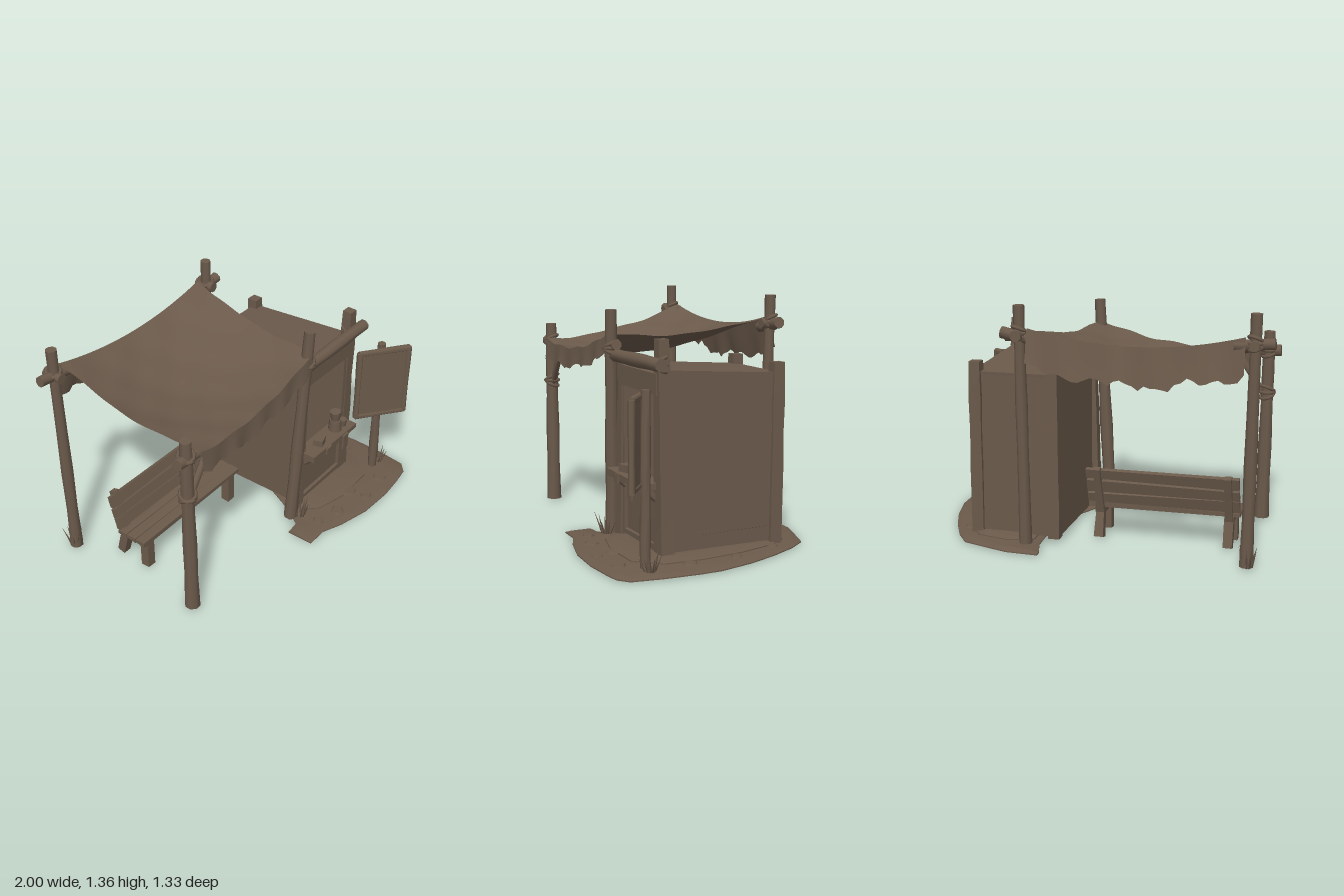
import * as THREE from 'three';
import { toCreasedNormals } from 'three/addons/utils/BufferGeometryUtils.js';

const V = (x, y, z) => new THREE.Vector3(x, y, z);

export function createModel() {
  const root = new THREE.Group();
  root.name = 'marketShelter';
  const brown = new THREE.MeshStandardMaterial({ color: 0x6b5a4b, side: THREE.DoubleSide });
  brown.name = 'weathered brown';
  let seed = 7;
  const rnd = () => (seed = (seed * 16807) % 2147483647) / 2147483647;

  const add = (name, geo, parent = root) => {
    const m = new THREE.Mesh(geo, brown);
    m.name = name;
    parent.add(m);
    return m;
  };
  // rough timber between two points
  const pole = (name, a, b, r0, r1 = r0, parent = root, sides = 8) => {
    const len = a.distanceTo(b);
    const g = new THREE.CylinderGeometry(r1, r0, len, sides, 5, false, Math.PI / sides);
    const p = g.attributes.position, ph = rnd() * 6;
    for (let i = 0; i < p.count; i++) {
      const y = p.getY(i), k = 1 + 0.07 * Math.sin(y * 14 + ph);
      p.setXYZ(i, p.getX(i) * k, y, p.getZ(i) * k);
    }
    const m = add(name, toCreasedNormals(g, 0.9), parent);
    m.position.copy(a).lerp(b, 0.5);
    m.quaternion.setFromUnitVectors(V(0, 1, 0), b.clone().sub(a).normalize());
    return m;
  };
  // board with slightly uneven corners
  const board = (name, w, h, d, x, y, z, parent = root, warp = 0.005) => {
    const g = new THREE.BoxGeometry(w, h, d);
    const p = g.attributes.position;
    for (let i = 0; i < p.count; i++) {
      const s = Math.sin(p.getX(i) * 91 + p.getY(i) * 57 + p.getZ(i) * 33 + x * 5 + y * 40);
      p.setY(i, p.getY(i) + s * warp);
    }
    const m = add(name, toCreasedNormals(g, 0.3), parent);
    m.position.set(x, y, z);
    return m;
  };
  // rope lashing around a post
  const lashing = (x, y, z, r) => {
    for (let i = 0; i < 3; i++) {
      const t = add('ropeLashing', new THREE.TorusGeometry(r, 0.01, 5, 10));
      t.position.set(x, y + (i - 1) * 0.02, z);
      t.rotation.set(Math.PI / 2 + (i - 1) * 0.35, (i - 1) * 0.3, 0);
    }
  };

  // ground patch: flat underneath, sloping rim
  const slab = (name, pts, depth, y, bevel) => {
    const s = new THREE.Shape(pts.map(([x, z]) => new THREE.Vector2(x, -z)));
    const g = new THREE.ExtrudeGeometry(s, { depth, bevelSize: bevel, bevelOffset: -bevel,
      bevelThickness: 0.012, bevelSegments: 1 });
    g.rotateX(-Math.PI / 2);
    const p = g.attributes.position;
    for (let i = 0; i < p.count; i++) p.setY(i, Math.max(0, p.getY(i)));
    add(name, toCreasedNormals(g, 0.6)).position.y = y;
  };
  slab('groundPatch', [[-0.03, 0.39], [-0.03, 0.55], [0.1, 0.55], [0.22, 0.6], [0.42, 0.65], [0.64, 0.66],
    [0.8, 0.645], [0.9, 0.63], [0.96, 0.58], [0.985, 0.4], [0.995, 0.2], [0.99, 0.08], [0.94, -0.12],
    [0.87, -0.3], [0.79, -0.46], [0.71, -0.57], [0.56, -0.62], [0.43, -0.66], [0.25, -0.665], [0.25, -0.63],
    [0.29, -0.5], [0.3, -0.35], [0.28, -0.12], [0.24, 0.05], [0.17, 0.2], [0.1, 0.32], [0.06, 0.38]], 0.006, 0.004, 0.03);
  slab('groundMound', [[0.17, 0.34], [0.25, 0.42], [0.45, 0.47], [0.7, 0.46], [0.82, 0.32], [0.83, 0.1],
    [0.8, -0.15], [0.74, -0.37], [0.66, -0.48], [0.48, -0.52], [0.33, -0.49], [0.34, -0.2], [0.28, 0.1]],
    0.006, 0.022, 0.05);
  for (const [x, z, r] of [[0.3, 0.52, 0.05], [0.5, 0.47, 0.06], [0.53, 0.58, 0.04], [0.74, 0.55, 0.05],
    [0.86, 0.2, 0.05], [0.85, -0.08, 0.04], [0.76, -0.35, 0.04], [0.15, 0.48, 0.04]]) {
    const st = add('flatStone', new THREE.CylinderGeometry(r * 0.7, r, 0.014, 5));
    st.position.set(x, 0.024, z);
    st.rotation.set(0.06 * rnd(), rnd() * 3, 0.06 * rnd());
  }

  // canopy posts with short cross bars and lashings
  pole('backLeftPost', V(0.36, 0.01, -0.53), V(0.37, 1.36, -0.55), 0.035, 0.03);
  pole('backRightPost', V(-0.88, 0.01, -0.54), V(-0.9, 1.36, -0.55), 0.037, 0.03);
  pole('frontRightPost', V(-0.845, 0.01, 0.32), V(-0.86, 1.14, 0.32), 0.043, 0.034);
  pole('frontLeftPost', V(0.1, 0.01, 0.31), V(0.175, 1.29, 0.345), 0.04, 0.032);
  pole('crossBar', V(-1, 1.21, -0.55), V(-0.79, 1.19, -0.55), 0.032);
  pole('crossBar', V(0.26, 1.17, -0.55), V(0.47, 1.21, -0.55), 0.032);
  pole('crossBar', V(-0.93, 1.03, 0.32), V(-0.78, 1.02, 0.32), 0.032);
  pole('crossBar', V(0.1, 1.08, 0.33), V(0.22, 1.1, 0.33), 0.03);
  pole('crossPeg', V(-0.9, 1.2, -0.61), V(-0.9, 1.2, -0.49), 0.03);
  pole('crossPeg', V(0.37, 1.2, -0.61), V(0.37, 1.2, -0.49), 0.03);
  pole('brace', V(-0.84, 0.76, 0.32), V(-0.7, 0.97, 0.32), 0.018);
  for (const [x, y, z, r] of [[-0.9, 1.21, -0.55, 0.04], [0.37, 1.21, -0.55, 0.04], [-0.858, 1.03, 0.32, 0.043],
    [-0.855, 0.78, 0.32, 0.043], [0.165, 1.08, 0.34, 0.042]]) lashing(x, y, z, r);

  // sagging canopy with ragged hanging edges
  const canopyPoint = (u, v) => {
    const back = 1.24 - 0.3 * u * (1 - u), front = 1.05 - 0.16 * u + 0.27 * u * u;
    const xl = -0.85 + 0.05 * v + 0.012 * Math.sin(v * 9), xr = 0.32 - 0.14 * v;
    const wrinkle = 0.006 * Math.sin(u * 23 + v * 5) * Math.sin(v * 17);
    const sag = 0.2 * v * (1 - v) + 0.045 * Math.sin(u * Math.PI) * Math.sin(v * Math.PI);
    return V(xl + (xr - xl) * u, back + (front - back) * v - sag + wrinkle, -0.57 + 0.94 * v);
  };
  const sheet = (name, nu, nv, f) => {
    const g = new THREE.PlaneGeometry(1, 1, nu, nv);
    const p = g.attributes.position;
    for (let i = 0; i < p.count; i++) {
      const q = f(p.getX(i) + 0.5, 0.5 - p.getY(i));
      p.setXYZ(i, q.x, q.y, q.z);
    }
    g.computeVertexNormals();
    add(name, g);
  };
  sheet('canopy', 28, 18, canopyPoint);
  const valance = (name, v, drop, out) => sheet(name, 36, 3, (u, t) => {
    const q = canopyPoint(u, v);
    const tear = 0.88 + 0.12 * Math.sin(u * 31) * Math.sin(u * 13 + 1) - (t > 0.9 ? rnd() * 0.1 : 0);
    q.y -= drop * t * tear;
    q.z += out * t + 0.008 * t * Math.sin(u * 30);
    return q;
  });
  valance('frontValance', 1, 0.135, 0.012);
  valance('backValance', 0, 0.24, -0.04);

  // booth corner posts, roughly squared
  pole('boothPost', V(0.69, 0.02, 0.262), V(0.685, 1.17, 0.28), 0.052, 0.043, root, 4);
  pole('boothPost', V(0.685, 0.02, -0.4), V(0.68, 1.02, -0.41), 0.05, 0.047, root, 4);
  pole('boothPost', V(0.19, 0.02, 0.28), V(0.215, 1.03, 0.28), 0.048, 0.043, root, 4);
  pole('boothPost', V(0.23, 0.02, -0.4), V(0.23, 1.02, -0.41), 0.05, 0.045, root, 4);

  // booth walls and sloping roof
  const wall = (name, x) => {
    const s = new THREE.Shape([[-0.27, 0.03], [0.4, 0.03], [0.4, 0.95], [-0.27, 0.995]]
      .map(([a, b]) => new THREE.Vector2(a, b)));
    const g = new THREE.ExtrudeGeometry(s, { depth: 0.02, bevelEnabled: false });
    g.rotateY(Math.PI / 2);
    add(name, g).position.x = x;
  };
  wall('boothSideWall', 0.68);
  wall('boothSideWall', 0.2);
  board('boothBackWall', 0.45, 0.92, 0.02, 0.455, 0.49, -0.41);
  board('boothFloor', 0.48, 0.02, 0.66, 0.45, 0.04, -0.06);
  const roof = board('boothRoof', 0.5, 0.018, 0.7, 0.45, 0.977, -0.075, root, 0);
  roof.rotation.x = -0.067;
  board('wallSill', 0.012, 0.015, 0.52, 0.7, 0.13, -0.1);

  // booth front: apron, trim, header and lintel
  board('frontApron', 0.44, 0.36, 0.02, 0.45, 0.22, 0.27);
  for (const x of [0.235, 0.645]) board('frontTrim', 0.03, 0.88, 0.03, x, 0.47, 0.285);
  board('bottomTrim', 0.46, 0.03, 0.03, 0.44, 0.06, 0.285);
  board('headerBoard', 0.49, 0.11, 0.03, 0.45, 0.935, 0.3);
  pole('lintel', V(0.17, 1.04, 0.325), V(0.78, 1.045, 0.325), 0.037, 0.037);
  lashing(0.685, 1.04, 0.29, 0.044);

  // counter with its goods
  board('counter', 0.46, 0.035, 0.13, 0.44, 0.4, 0.325);
  for (const x of [0.24, 0.64]) pole('counterBracket', V(x, 0.32, 0.285), V(x, 0.39, 0.36), 0.02);
  for (const x of [0.36, 0.54]) board('hangingCloth', 0.05, x > 0.5 ? 0.1 : 0.05, 0.012, x, x > 0.5 ? 0.36 : 0.39, 0.395);
  board('smallBox', 0.07, 0.045, 0.06, 0.35, 0.44, 0.33).rotation.y = 0.3;
  pole('jug', V(0.535, 0.41, 0.32), V(0.535, 0.49, 0.32), 0.042, 0.035);
  pole('jugTop', V(0.535, 0.48, 0.32), V(0.53, 0.55, 0.32), 0.026, 0.036);
  pole('cup', V(0.6, 0.41, 0.33), V(0.6, 0.46, 0.33), 0.024, 0.028);

  // angled notice board on its own post
  const sign = new THREE.Group();
  sign.name = 'noticeBoard';
  sign.position.set(0.81, 0.675, 0.465);
  sign.rotation.y = -0.65;
  root.add(sign);
  board('noticePanel', 0.3, 0.44, 0.02, 0, 0, 0, sign);
  for (const s of [-1, 1]) {
    pole('noticeFrame', V(s * 0.155, -0.23, 0), V(s * 0.155, 0.23, 0), 0.019, 0.019, sign);
    pole('noticeFrame', V(-0.16, s * 0.225, 0), V(0.16, s * 0.225, 0), 0.019, 0.019, sign);
  }
  pole('noticePost', V(0.825, 0.02, 0.438), V(0.825, 0.935, 0.435), 0.028, 0.026);

  // bench
  const bench = new THREE.Group();
  bench.name = 'bench';
  root.add(bench);
  for (const z of [-0.235, -0.167, -0.1]) board('seatPlank', 0.87, 0.028, 0.063, -0.365, 0.195, z, bench);
  [0.245, 0.315, 0.388].forEach((y, i) => {
    const b = board('backPlank', 0.87, 0.063, 0.025, -0.365, y, -0.268 - i * 0.021, bench);
    b.rotation.set(-0.28, 0, (i - 1) * 0.008);
  });
  for (const x of [-0.74, 0]) {
    board('frontLeg', 0.055, 0.19, 0.055, x, 0.1, -0.1, bench);
    pole('backLeg', V(x, 0.01, -0.29), V(x, 0.2, -0.24), 0.036, 0.034, bench, 4);
    pole('backSupport', V(x, 0.16, -0.255), V(x, 0.425, -0.335), 0.034, 0.026, bench, 4);
    board('seatRail', 0.05, 0.04, 0.2, x, 0.165, -0.17, bench);
  }

  // grass tufts
  for (const [x, z, h] of [[0.13, 0.36, 0.13], [0.89, 0.44, 0.11], [-0.89, -0.55, 0.11]]) {
    for (let i = 0; i < 9; i++) {
      const a = i * 2.4, l = h * (0.6 + 0.4 * rnd()), o = 0.02 + 0.02 * rnd();
      pole('grassBlade', V(x + Math.cos(a) * 0.02, 0.01, z + Math.sin(a) * 0.02),
        V(x + Math.cos(a) * (o + 0.02), 0.02 + l, z + Math.sin(a) * (o + 0.03)), 0.009, 0.0005, root, 3);
    }
  }
  return root;
}
